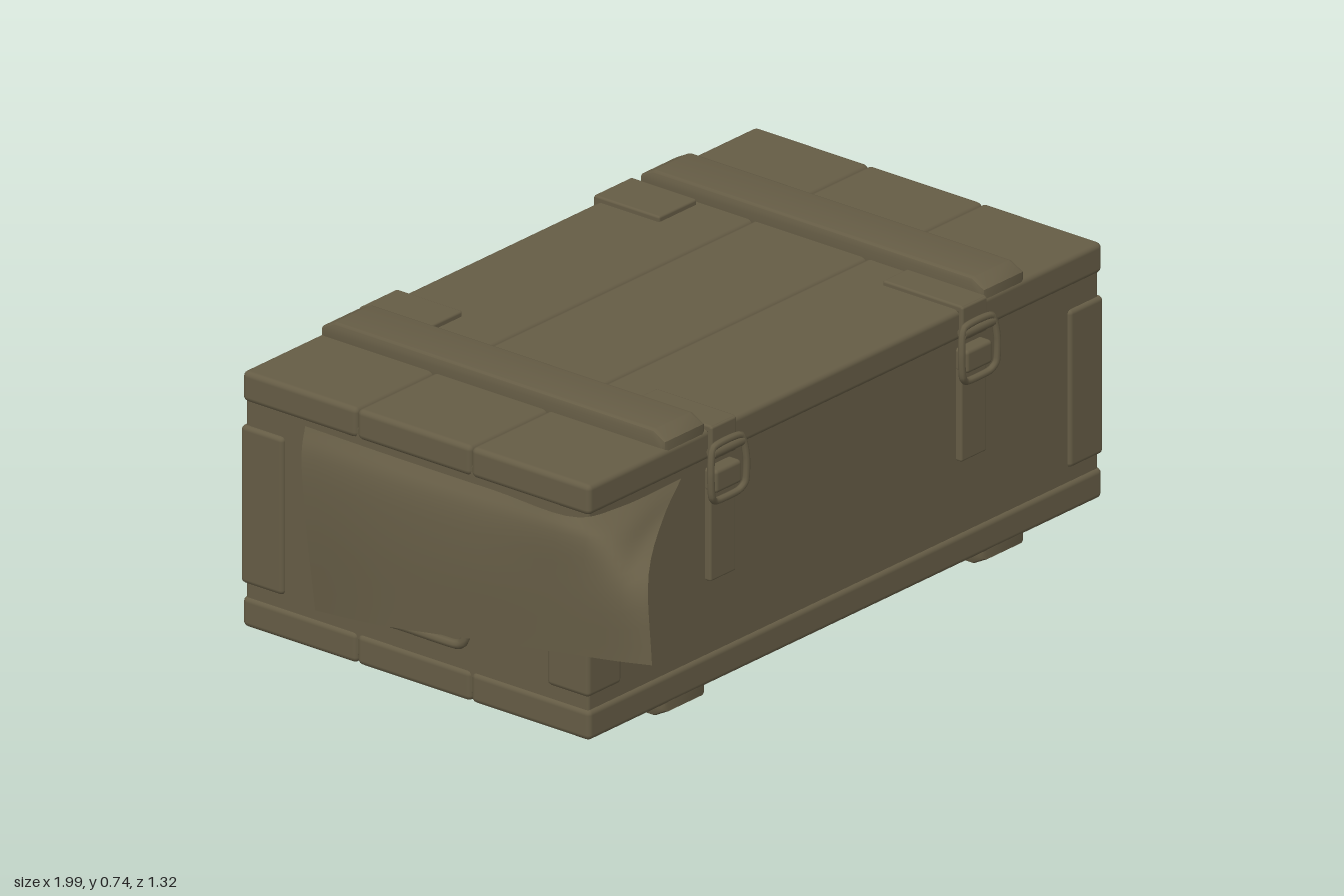
import * as THREE from 'three';
import { RoundedBoxGeometry } from 'three/addons/geometries/RoundedBoxGeometry.js';
import { toCreasedNormals } from 'three/addons/utils/BufferGeometryUtils.js';

const olive = new THREE.MeshStandardMaterial({ color: 0x655c45 });
olive.name = 'olive paint';
const canvas = new THREE.MeshStandardMaterial({ color: 0x655c45, side: THREE.DoubleSide });
canvas.name = 'olive canvas';

function add(parent, name, geometry, x = 0, y = 0, z = 0, material = olive) {
  const mesh = new THREE.Mesh(geometry, material);
  mesh.name = name;
  mesh.position.set(x, y, z);
  parent.add(mesh);
  return mesh;
}

// Box given by its limits on each axis, with softened edges
function block(parent, name, [x0, x1], [y0, y1], [z0, z1], r = 0.006) {
  const w = x1 - x0, h = y1 - y0, d = z1 - z0;
  const radius = Math.min(r, w * 0.45, h * 0.45, d * 0.45);
  return add(parent, name, new RoundedBoxGeometry(w, h, d, 2, radius), (x0 + x1) / 2, (y0 + y1) / 2, (z0 + z1) / 2);
}

function tube(points, radius, closed, segments = 48) {
  const path = new THREE.CatmullRomCurve3(points.map(p => new THREE.Vector3(...p)), closed, 'catmullrom', 0.3);
  return new THREE.TubeGeometry(path, segments, radius, 8, closed);
}

// Cross batten: chamfered side profile in (z, y), extruded along x
function batten(parent, name, x, y, flip) {
  const s = new THREE.Shape([[-0.615, -0.02], [0.42, -0.02], [0.42, 0.012], [0.39, 0.028], [-0.585, 0.028], [-0.615, 0.012]]
    .map(p => new THREE.Vector2(-p[0], p[1] * flip)));
  const g = new THREE.ExtrudeGeometry(s, { depth: 0.126, bevelEnabled: true, bevelSize: 0.012, bevelThickness: 0.012, bevelSegments: 2 });
  g.translate(0, 0, -0.063);
  g.rotateY(Math.PI / 2);
  add(parent, name, toCreasedNormals(g, 0.6), x, y, 0);
}

// Carrying handle in its own frame: wall at z = 0, facing +z
function makeHandle(name) {
  const h = new THREE.Group();
  h.name = name;
  const s = new THREE.Shape();
  s.moveTo(-0.185, 0.45);
  s.quadraticCurveTo(0, 0.54, 0.185, 0.45);
  s.lineTo(0.185, 0.37);
  s.lineTo(0.165, 0.275);
  s.quadraticCurveTo(0, 0.33, -0.165, 0.275);
  s.lineTo(-0.185, 0.37);
  add(h, 'handlePlate', new THREE.ExtrudeGeometry(s, { depth: 0.012, bevelEnabled: false }));
  for (const [x, y] of [[-0.1, 0.44], [0.1, 0.44], [-0.14, 0.308], [0.14, 0.308]]) {
    const rivet = add(h, 'handleRivet', new THREE.SphereGeometry(0.021, 14, 8), x, y, 0.012);
    rivet.scale.z = 0.5;
  }
  add(h, 'handleRing', tube([[-0.145, 0.4, 0.026], [-0.168, 0.36, 0.028], [-0.175, 0.28, 0.032], [-0.172, 0.215, 0.036],
    [-0.145, 0.197, 0.037], [0, 0.197, 0.037], [0.145, 0.197, 0.037], [0.172, 0.215, 0.036],
    [0.175, 0.28, 0.032], [0.168, 0.36, 0.028], [0.145, 0.4, 0.026], [0, 0.4, 0.026]], 0.012, true, 80));
  const grip = add(h, 'handleGrip', new THREE.CylinderGeometry(0.027, 0.027, 0.27, 16), 0, 0.385, 0.024);
  grip.rotation.z = Math.PI / 2;
  for (const x of [-0.15, 0.15]) block(h, 'handleLug', [x - 0.025, x + 0.025], [0.365, 0.43], [0, 0.038], 0.012);
  return h;
}

// Front latch: top plate, hook, wire loop and lever
function makeLatch(x) {
  const g = new THREE.Group();
  g.name = 'latch';
  g.position.x = x;
  block(g, 'latchTopPlate', [-0.046, 0.046], [0.69, 0.71], [0.2, 0.444]);
  block(g, 'latchFrontPlate', [-0.046, 0.046], [0.62, 0.708], [0.43, 0.447]);
  const hook = add(g, 'latchHook', new THREE.CylinderGeometry(0.014, 0.014, 0.11, 12), 0, 0.645, 0.452);
  hook.rotation.z = Math.PI / 2;
  add(g, 'latchLoop', tube([[-0.05, 0.66, 0.455], [-0.065, 0.6, 0.46], [-0.062, 0.54, 0.46], [-0.04, 0.52, 0.455],
    [0.04, 0.52, 0.455], [0.062, 0.54, 0.46], [0.065, 0.6, 0.46], [0.05, 0.66, 0.455]], 0.009, true));
  block(g, 'latchBracket', [-0.048, 0.048], [0.54, 0.6], [0.42, 0.462], 0.01);
  block(g, 'latchLever', [-0.047, 0.047], [0.31, 0.56], [0.42, 0.444]);
  return g;
}

// Rear hinge: straps on lid and back wall around a pin
function makeHinge(x) {
  const g = new THREE.Group();
  g.name = 'hinge';
  g.position.x = x;
  block(g, 'hingeTopStrap', [-0.07, 0.07], [0.69, 0.712], [-0.44, 0.0].map((v, i) => i ? -0.44 : -0.642));
  block(g, 'hingeLidStrap', [-0.07, 0.07], [0.62, 0.71], [-0.643, -0.62]);
  block(g, 'hingeBackStrap', [-0.07, 0.07], [0.37, 0.62], [-0.64, -0.61]);
  const pin = add(g, 'hingePin', new THREE.CylinderGeometry(0.016, 0.016, 0.145, 14), 0, 0.617, -0.643);
  pin.rotation.z = Math.PI / 2;
  return g;
}

// Canvas flap: smooth sheet through cross-sections, each from top to hem
function makeFlap() {
  const stations = [
    [[-0.94, 0.615, -0.43], [-0.965, 0.56, -0.42], [-0.978, 0.42, -0.4], [-0.975, 0.17, -0.37]],
    [[-0.945, 0.615, -0.15], [-0.975, 0.57, -0.15], [-0.993, 0.44, -0.15], [-0.996, 0.2, -0.15]],
    [[-0.945, 0.615, 0.15], [-0.972, 0.575, 0.15], [-0.99, 0.45, 0.15], [-0.993, 0.245, 0.15]],
    [[-0.94, 0.615, 0.41], [-0.965, 0.585, 0.45], [-0.98, 0.47, 0.45], [-0.985, 0.285, 0.44]],
    [[-0.83, 0.615, 0.445], [-0.92, 0.575, 0.51], [-0.965, 0.48, 0.56], [-0.977, 0.3, 0.56]],
    [[-0.6, 0.61, 0.44], [-0.73, 0.57, 0.495], [-0.93, 0.51, 0.615], [-0.97, 0.315, 0.66]],
  ];
  const U = 30, V = 14, pos = [], idx = [];
  const curve = pts => new THREE.CatmullRomCurve3(pts, false, 'centripetal');
  const rows = [0, 1, 2, 3].map(r => curve(stations.map(s => new THREE.Vector3(...s[r]))));
  for (let i = 0; i <= U; i++) {
    const column = curve(rows.map(r => r.getPoint(i / U)));
    for (let j = 0; j <= V; j++) pos.push(...column.getPoint(j / V).toArray());
  }
  for (let i = 0; i < U; i++) for (let j = 0; j < V; j++) {
    const a = i * (V + 1) + j, b = a + V + 1;
    idx.push(a, a + 1, b, b, a + 1, b + 1);
  }
  const g = new THREE.BufferGeometry();
  g.setAttribute('position', new THREE.Float32BufferAttribute(pos, 3));
  g.setIndex(idx);
  g.computeVertexNormals();
  return g;
}

export function createModel() {
  const model = new THREE.Group();
  model.name = 'woodenCrate';

  block(model, 'body', [-0.925, 0.945], [0.06, 0.65], [-0.625, 0.427], 0.008);

  // Lid and base, each of three planks
  const seams = [-0.632, -0.28, 0.07, 0.435];
  for (let i = 0; i < 3; i++) {
    const z = [seams[i], seams[i + 1]];
    block(model, 'lidPlank', [-0.932, 0.953], [0.62, 0.698], z, 0.014);
    block(model, 'basePlank', [-0.932, 0.953], [0.042, 0.12], z, 0.014);
  }

  for (const x of [-0.575, 0.595]) {
    batten(model, 'lidBatten', x, 0.698, 1);
    batten(model, 'baseBatten', x, 0.042, -1);
  }

  // Corner plates wrapping each upright edge
  for (const sx of [-1, 1]) for (const sz of [-1, 1]) {
    const x = sx > 0 ? 0.956 : -0.936, z = sz > 0 ? 0.436 : -0.634;
    const span = (a, b) => [Math.min(a, b), Math.max(a, b)];
    block(model, 'cornerPlate', span(x, x - sx * 0.125), [0.155, 0.56], span(z, z - sz * 0.13), 0.012);
  }

  const rightHandle = makeHandle('sideHandle');
  rightHandle.position.set(0.945, 0, -0.095);
  rightHandle.rotation.y = Math.PI / 2;
  const leftHandle = makeHandle('sideHandle');
  leftHandle.position.set(-0.925, 0, -0.095);
  leftHandle.rotation.y = -Math.PI / 2;
  model.add(rightHandle, leftHandle);

  for (const x of [-0.45, 0.47]) model.add(makeLatch(x));
  for (const x of [-0.42, 0.44]) model.add(makeHinge(x));

  add(model, 'canvasFlap', makeFlap(), 0, 0, 0, canvas);
  return model;
}
